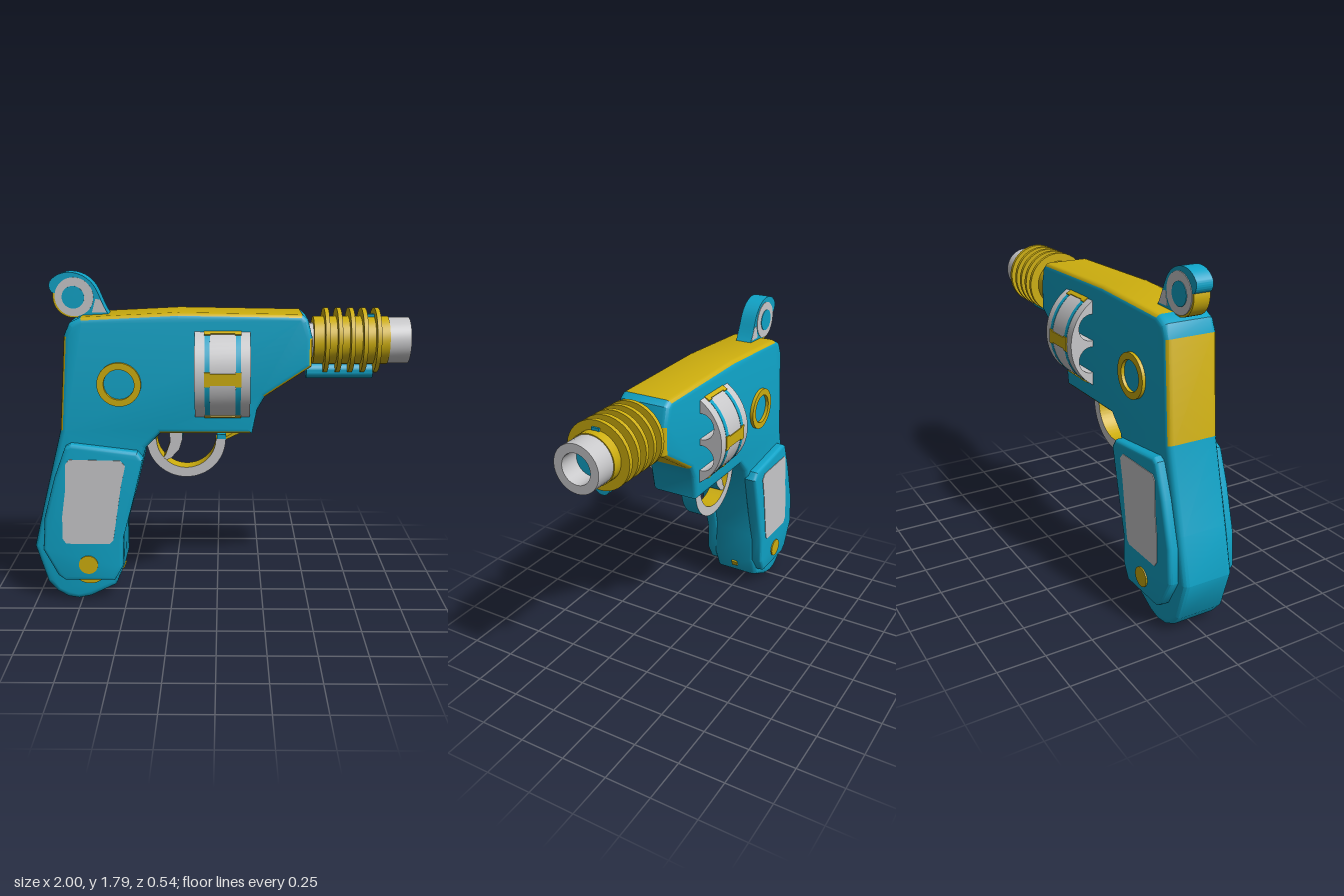
import * as THREE from 'three';
import { toCreasedNormals } from 'three/addons/utils/BufferGeometryUtils.js';

const material = (name, color) => {
  const m = new THREE.MeshStandardMaterial({ color });
  m.name = name;
  return m;
};

export function createModel() {
  const teal = material('teal', 0x0fa3c7);
  const gold = material('gold', 0xcdae0e);
  const grey = material('light grey', 0xc8c8ca);
  const model = new THREE.Group();
  model.name = 'toyRevolver';

  const add = (name, geometry, mat, x = 0, y = 0, z = 0) => {
    const mesh = new THREE.Mesh(geometry, mat);
    mesh.name = name;
    mesh.position.set(x, y, z);
    model.add(mesh);
    return mesh;
  };
  const shapeOf = (pts) => new THREE.Shape(pts.map(([x, y]) => new THREE.Vector2(x, y)));

  // Side profile extruded symmetrically about z = 0, with a rounded edge
  const slab = (shape, half, bevel = 0) => {
    const g = new THREE.ExtrudeGeometry(shape, {
      depth: 2 * (half - bevel), bevelEnabled: bevel > 0, bevelSize: bevel,
      bevelThickness: bevel, bevelOffset: -bevel, bevelSegments: 3, curveSegments: 32,
    });
    g.translate(0, 0, bevel - half);
    return toCreasedNormals(g, 0.55);
  };

  // Gives each triangle a material index from its centre and face normal
  const paint = (g, rule) => {
    const p = g.attributes.position;
    const t = new THREE.Triangle(), c = new THREE.Vector3(), n = new THREE.Vector3();
    g.clearGroups();
    for (let i = 0; i < p.count; i += 3) {
      t.setFromAttributeAndIndices(p, i, i + 1, i + 2);
      t.getMidpoint(c);
      t.getNormal(n);
      const index = rule(c, n);
      const last = g.groups[g.groups.length - 1];
      if (last && last.materialIndex === index) last.count += 3;
      else g.addGroup(i, 3, index);
    }
    return g;
  };

  // Turned part along x; profile is [x, radius]
  const turned = (profile) => {
    const g = new THREE.LatheGeometry(profile.map(([x, r]) => new THREE.Vector2(r, x)), 40);
    g.rotateZ(-Math.PI / 2);
    return toCreasedNormals(g, 0.6);
  };
  // Disc with its axis along z
  const disc = (r, depth) => new THREE.CylinderGeometry(r, r, depth, 36).rotateX(Math.PI / 2);

  // Frame and grip in one silhouette, with gold rims
  const frame = shapeOf([
    [-0.79, 1.48], [-0.83, 0.98], [-0.94, 0.56], [-1, 0.32], [-0.94, 0.11], [-0.89, 0.05],
    [-0.83, 0.015], [-0.77, 0.005], [-0.7, 0.02], [-0.56, 0.09], [-0.51, 0.21], [-0.51, 0.4],
    [-0.45, 0.64], [-0.38, 0.88], [-0.3, 0.96], [0.185, 0.96], [0.21, 1.09], [0.25, 1.16],
    [0.49, 1.32], [0.49, 1.47], [0.465, 1.565], [0.435, 1.59], [-0.2, 1.6], [-0.7, 1.575], [-0.76, 1.545],
  ]);
  const frameGeometry = paint(slab(frame, 0.14, 0.03), (c, n) => {
    if (Math.abs(n.z) > 0.85) return 0;
    const top = c.y > 1.54 && c.x > -0.69 && c.x < 0.43;
    const back = c.x < -0.7 && c.y > 0.99 && c.y < 1.48;
    const front = c.x > 0.26 && c.y < 1.47;
    const under = c.y > 0.94 && c.y < 1 && c.x > -0.29 && c.x < 0.17 && n.y < -0.3;
    return top || back || front || under ? 1 : 0;
  });
  add('frame', frameGeometry, [teal, gold]);

  // Grip plates, inlays, studs and side rings on both sides
  const plate = shapeOf([
    [-0.8, 0.9], [-0.77, 0.915], [-0.42, 0.872], [-0.392, 0.83], [-0.455, 0.58], [-0.51, 0.38],
    [-0.515, 0.22], [-0.56, 0.14], [-0.83, 0.14], [-0.87, 0.17], [-0.945, 0.32], [-0.93, 0.5], [-0.865, 0.73],
  ]);
  const inlay = shapeOf([
    [-0.8, 0.81], [-0.78, 0.835], [-0.51, 0.83], [-0.485, 0.8], [-0.51, 0.69], [-0.56, 0.38],
    [-0.58, 0.36], [-0.815, 0.36], [-0.835, 0.39], [-0.83, 0.52], [-0.81, 0.65],
  ]);
  const ring = new THREE.Shape().absarc(0, 0, 0.115, 0, Math.PI * 2);
  ring.holes.push(new THREE.Path().absarc(0, 0, 0.08, 0, Math.PI * 2, true));
  for (const s of [1, -1]) {
    add('gripPlate', slab(plate, 0.04, 0.02), teal, 0, 0, s * 0.15);
    add('gripInlay', slab(inlay, 0.004), grey, 0, 0, s * 0.189);
    add('gripStud', disc(0.052, 0.02), gold, -0.7, 0.237, s * 0.187);
    add('gripBottomDisc', disc(0.1, 0.03), gold, -0.7, 0.208, s * 0.137);
    add('sideRing', slab(ring, 0.02), gold, -0.51, 1.23, s * 0.138);
  }
  const pin = add('gripPin', new THREE.BoxGeometry(0.02, 0.035, 0.035), gold, -0.531, 0.157, 0);
  pin.rotation.z = -0.39;

  // Drum with six bored chambers
  const drum = new THREE.Shape().absarc(0, 0, 0.265, 0, Math.PI * 2);
  for (let i = 0; i < 6; i++) {
    const a = (i + 0.5) * Math.PI / 3;
    drum.holes.push(new THREE.Path().absarc(Math.cos(a) * 0.172, Math.sin(a) * 0.172, 0.07, 0, Math.PI * 2, true));
  }
  add('drum', slab(drum, 0.1425).rotateY(Math.PI / 2), grey, 0.0275, 1.28, 0);
  for (const x of [-0.05, 0.108]) {
    add('drumBand', turned([[-0.013, 0.26], [-0.013, 0.267], [0.013, 0.267], [0.013, 0.26]]), teal, x, 1.28, 0);
  }
  // Gold clasps around the drum
  for (let i = 0; i < 6; i++) {
    const clasp = new THREE.Group();
    clasp.name = 'drumClasp';
    for (const [x, w, h] of [[0.029, 0.16, 0.06], [-0.05, 0.032, 0.075], [0.108, 0.032, 0.075]]) {
      const part = new THREE.Mesh(new THREE.BoxGeometry(w, h, 0.02), gold);
      part.position.set(x, 0, 0.259);
      clasp.add(part);
    }
    clasp.position.y = 1.28;
    clasp.rotation.x = i * Math.PI / 3;
    model.add(clasp);
  }

  // Finned barrel and hollow muzzle
  const barrel = [[0.5, 0], [0.5, 0.125]];
  for (const x of [0.565, 0.63, 0.695, 0.76, 0.828]) {
    barrel.push([x - 0.011, 0.125], [x - 0.011, 0.17], [x + 0.011, 0.17], [x + 0.011, 0.125]);
  }
  barrel.push([0.89, 0.125], [0.89, 0.09]);
  add('barrel', turned(barrel), gold, 0, 1.44, 0);
  add('barrelCollar', turned([[0.44, 0], [0.44, 0.09], [0.505, 0.09]]), grey, 0, 1.44, 0);
  add('muzzle', turned([[0.87, 0.12], [1, 0.12], [1, 0.076], [0.87, 0.076]]), grey, 0, 1.44, 0);
  add('boreEnd', new THREE.CircleGeometry(0.08, 32).rotateY(Math.PI / 2), teal, 0.895, 1.44, 0);
  add('underTube', turned([[0.47, 0], [0.47, 0.043], [0.82, 0.043], [0.82, 0]]), teal, 0, 1.279, 0);
  add('frontSight', new THREE.BoxGeometry(0.075, 0.05, 0.04), teal, 0.812, 1.553, 0);

  // Hammer: hooked teal spur over a round boss
  const spur = new THREE.Shape();
  spur.moveTo(-0.865, 1.745);
  spur.bezierCurveTo(-0.82, 1.81, -0.72, 1.81, -0.66, 1.755);
  spur.bezierCurveTo(-0.61, 1.71, -0.61, 1.65, -0.565, 1.58);
  spur.lineTo(-0.72, 1.565);
  spur.lineTo(-0.74, 1.67);
  spur.lineTo(-0.85, 1.69);
  spur.quadraticCurveTo(-0.875, 1.71, -0.865, 1.745);
  add('hammerSpur', slab(spur, 0.045), teal);
  add('hammerBoss', disc(0.106, 0.086), gold, -0.745, 1.668, 0);
  const web = shapeOf([[-0.65, 1.59], [-0.575, 1.59], [-0.605, 1.655], [-0.63, 1.66]]);
  add('hammerWeb', slab(web, 0.047), grey);
  add('hammerFace', disc(0.1, 0.096), grey, -0.74, 1.67, 0);
  add('hammerCentre', disc(0.058, 0.102), teal, -0.745, 1.668, 0);

  // Trigger guard: grey sides, teal outside, gold inside
  const guard = new THREE.Shape();
  guard.absarc(0, 0, 0.213, Math.PI, Math.PI * 2, false);
  guard.absarc(0, 0, 0.16, Math.PI * 2, Math.PI, true);
  const guardGeometry = paint(slab(guard, 0.045), (c, n) =>
    Math.abs(n.z) > 0.9 ? 0 : Math.hypot(c.x, c.y) < 0.18 ? 2 : 1);
  add('triggerGuard', guardGeometry, [grey, teal, gold], -0.168, 0.908, 0);
  add('guardTip', new THREE.BoxGeometry(0.05, 0.03, 0.09), teal, 0.022, 0.918, 0);
  const strut = shapeOf([[0.02, 0.905], [0.045, 0.905], [0.17, 0.965], [0.12, 0.965]]);
  add('guardStrut', slab(strut, 0.044), gold);

  // Trigger
  const trigger = shapeOf([
    [-0.26, 0.97], [-0.255, 0.89], [-0.28, 0.82], [-0.31, 0.775],
    [-0.25, 0.8], [-0.205, 0.85], [-0.187, 0.91], [-0.187, 0.97],
  ]);
  const triggerGeometry = paint(slab(trigger, 0.04), (c, n) =>
    Math.abs(n.z) > 0.9 ? 0 : n.x > 0 ? 1 : 2);
  add('trigger', triggerGeometry, [grey, teal, gold]);

  return model;
}
